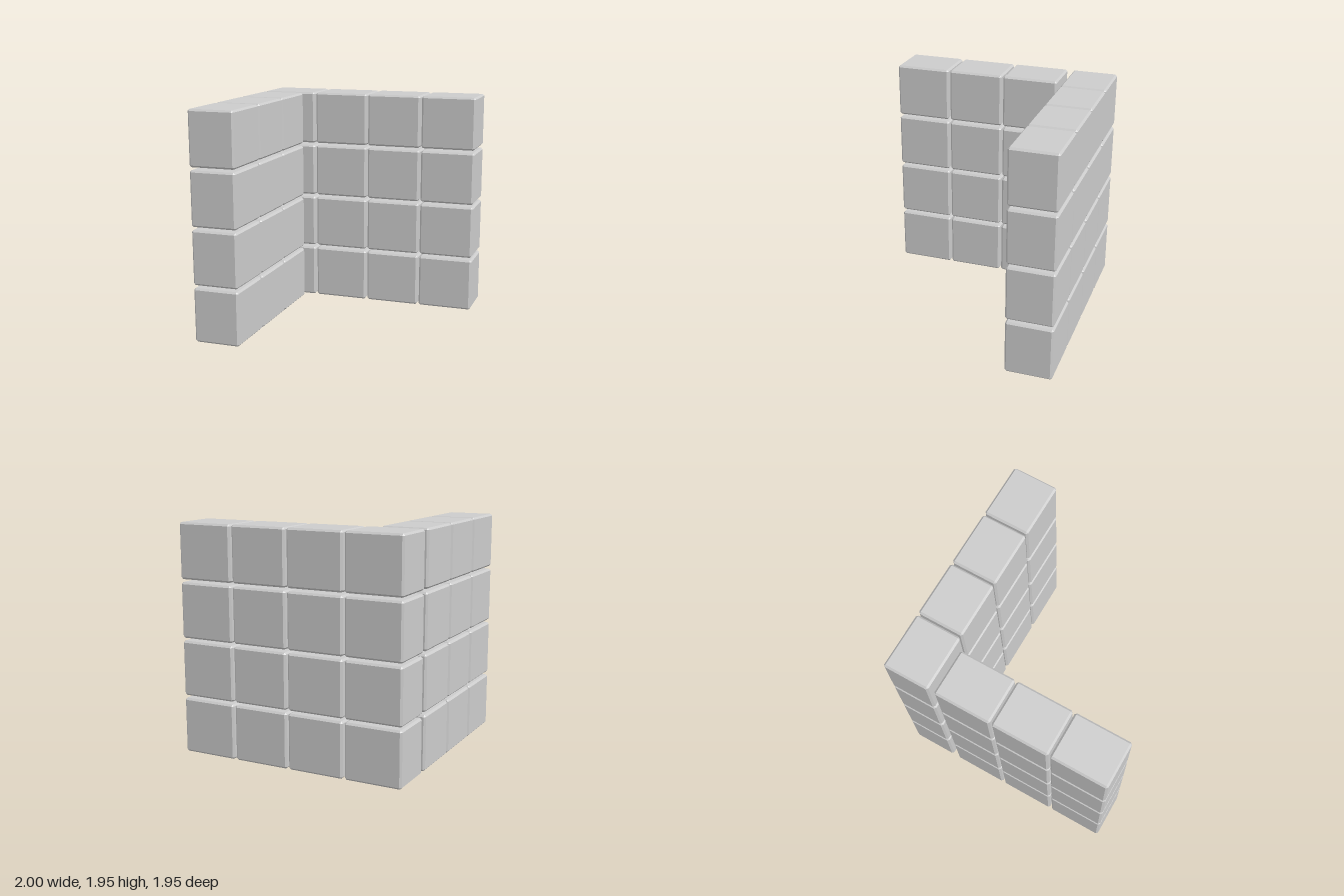
import * as THREE from 'three';
import { ConvexGeometry } from 'three/addons/geometries/ConvexGeometry.js';

// Box with every edge chamfered by c: each corner becomes three points
function chamferedBox(w, h, d, c) {
  const points = [];
  for (const sx of [-1, 1]) for (const sy of [-1, 1]) for (const sz of [-1, 1]) {
    const x = w / 2, y = h / 2, z = d / 2;
    for (const [px, py, pz] of [[x, y - c, z - c], [x - c, y, z - c], [x - c, y - c, z]]) {
      points.push(new THREE.Vector3(sx * px, sy * py, sz * pz));
    }
  }
  return new ConvexGeometry(points);
}

export function createModel() {
  const group = new THREE.Group();
  const material = new THREE.MeshStandardMaterial({ color: 0xcccccc, flatShading: true });
  const length = 0.488, height = 0.469, depth = 0.4;
  const pitch = 0.504, rowPitch = 0.493, rows = 4;
  const block = chamferedBox(length, height, depth, 0.016);

  // Stacks a straight wall of blocks along local x, starting at x = 0
  function wall(name, columns) {
    const result = new THREE.Group();
    result.name = name;
    for (let row = 0; row < rows; row++) {
      for (let col = 0; col < columns; col++) {
        const mesh = new THREE.Mesh(block, material);
        mesh.name = 'block';
        mesh.position.set(length / 2 + col * pitch, height / 2 + row * rowPitch, 0);
        result.add(mesh);
      }
    }
    group.add(result);
    return result;
  }

  // Back wall, four blocks wide
  wall('backWall', 4).position.set(-1, 0, -0.775);

  // Side wall, three blocks wide, running forward from the back wall
  const side = wall('sideWall', 3);
  side.rotation.y = -Math.PI / 2;
  side.position.set(-0.8, 0, -0.52);

  return group;
}
